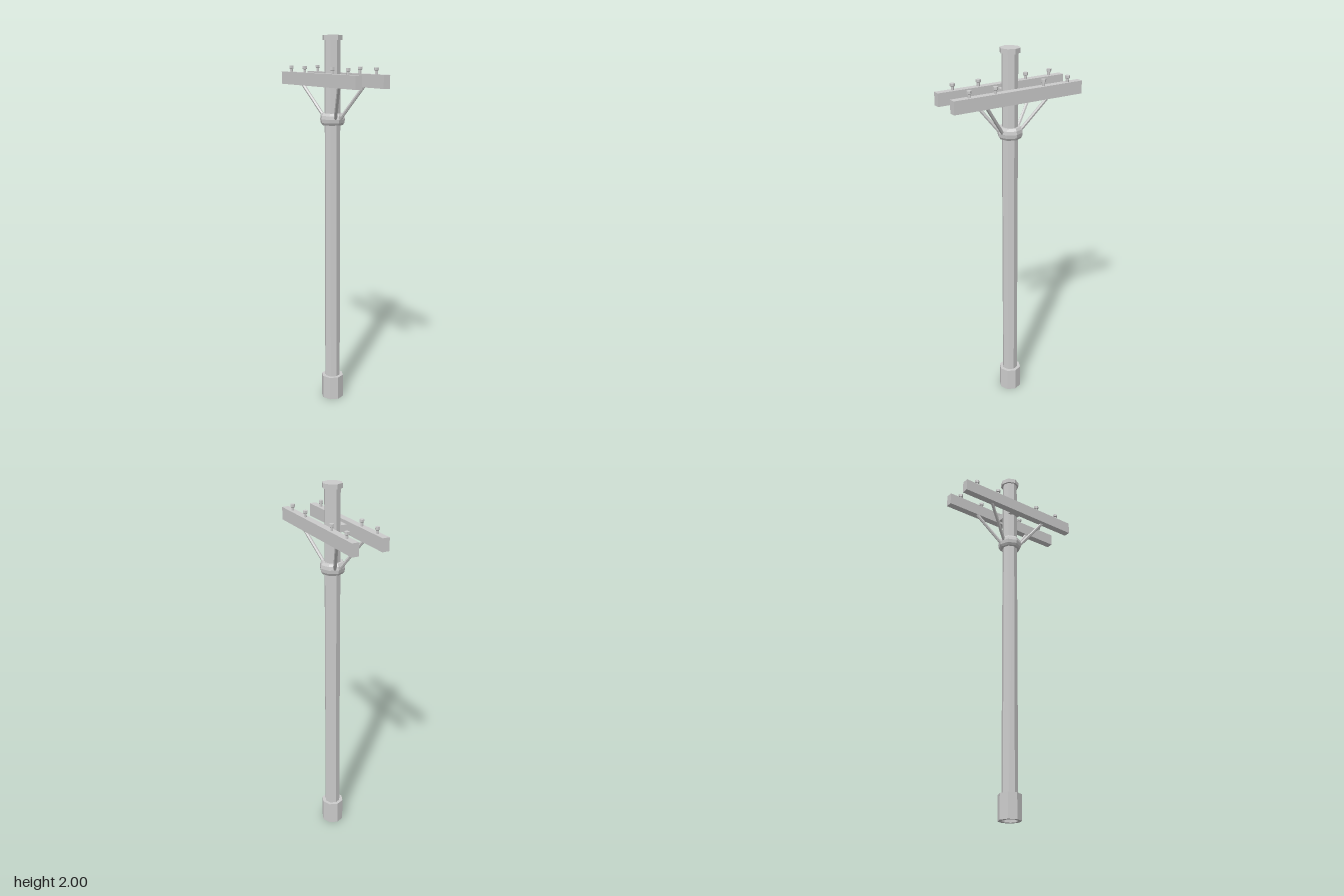
import * as THREE from 'three';

const SIDES = 8;
const material = new THREE.MeshStandardMaterial({ color: 0xcccccc, flatShading: true });
const openMaterial = new THREE.MeshStandardMaterial({ color: 0xcccccc, flatShading: true, side: THREE.DoubleSide });

export function createModel() {
  const model = new THREE.Group();
  model.name = 'utilityPole';

  function add(name, geometry, x = 0, y = 0, z = 0, mat = material) {
    const mesh = new THREE.Mesh(geometry, mat);
    mesh.name = name;
    mesh.position.set(x, y, z);
    model.add(mesh);
    return mesh;
  }

  // Octagonal ring turned from [radius, height] pairs
  const ring = (profile, sides = SIDES) =>
    new THREE.LatheGeometry(profile.map(([r, y]) => new THREE.Vector2(r, y)), sides);

  // Round bar between two points
  function bar(name, from, to, radius) {
    const dir = to.clone().sub(from);
    const mesh = add(name, new THREE.CylinderGeometry(radius, radius, dir.length(), 6));
    mesh.position.copy(from).add(to).multiplyScalar(0.5);
    mesh.quaternion.setFromUnitVectors(new THREE.Vector3(0, 1, 0), dir.normalize());
  }

  // Shaft, hollow at the foot
  add('shaft', new THREE.CylinderGeometry(0.042, 0.042, 1.98, SIDES, 1, true), 0, 0.99, 0, openMaterial);
  add('topCap', new THREE.CylinderGeometry(0.052, 0.052, 0.025, SIDES), 0, 1.9875, 0);
  add('baseSleeve', ring([[0.042, 0], [0.061, 0], [0.061, 0.13], [0.042, 0.13]]), 0, 0, 0, openMaterial);

  // Bulging collar that carries the braces
  add('collar', ring([
    [0.04, 1.541], [0.056, 1.541], [0.064, 1.553], [0.067, 1.572],
    [0.064, 1.59], [0.056, 1.602], [0.04, 1.602],
  ]), 0, 0, 0, openMaterial);

  // Spacer block joining the two crossarms
  add('spacerBlock', new THREE.BoxGeometry(0.13, 0.036, 0.064), 0, 1.773, 0);

  // Insulator: slim stem under a wider head
  const insulator = ring([
    [0, 0], [0.008, 0], [0.008, 0.017], [0.013, 0.02], [0.013, 0.034], [0, 0.034],
  ], 6);
  insulator.rotateY(Math.PI / 6);

  for (const side of [-1, 1]) {
    const label = side > 0 ? 'left' : 'right';
    add(label + 'Crossarm', new THREE.BoxGeometry(0.038, 0.067, 0.738), side * 0.082, 1.775, 0);

    for (const z of [-0.29, -0.145, 0.133, 0.278]) {
      add(label + 'Insulator', insulator, side * 0.083, 1.808, z);
    }

    // Diagonal braces from the collar to the underside of the arm
    for (const end of [-1, 1]) {
      bar(label + (end > 0 ? 'Front' : 'Back') + 'Brace',
        new THREE.Vector3(side * 0.015, 1.575, end * 0.052),
        new THREE.Vector3(side * 0.076, 1.75, end * 0.183), 0.009);
    }
  }
  return model;
}
